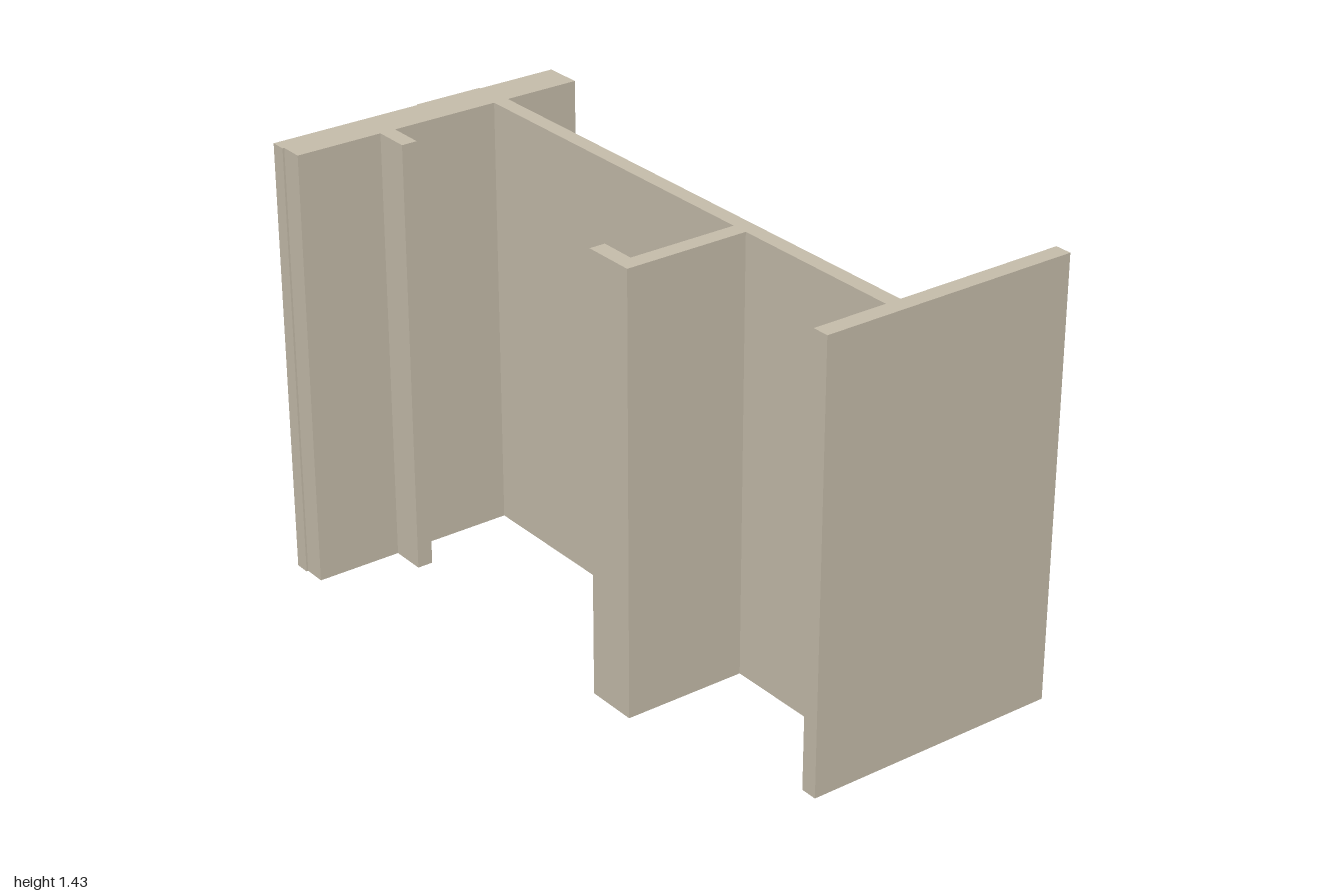
import * as THREE from 'three';

const HEIGHT = 1.43;

export function createModel() {
  const model = new THREE.Group();
  model.name = 'wallSection';
  const plaster = new THREE.MeshStandardMaterial({ color: 0xc6bdab });
  plaster.name = 'beige plaster';

  // Extrudes a floor-plan outline of [x, z] corners to full height
  function wall(name, plan) {
    const shape = new THREE.Shape(plan.map(([x, z]) => new THREE.Vector2(x, -z)));
    const geometry = new THREE.ExtrudeGeometry(shape, { depth: HEIGHT, bevelEnabled: false });
    geometry.rotateX(-Math.PI / 2);
    const mesh = new THREE.Mesh(geometry, plaster);
    mesh.name = name;
    model.add(mesh);
  }
  const rect = (x0, x1, z0, z1) => [[x0, z0], [x1, z0], [x1, z1], [x0, z1]];

  // Thick outer wall, with a slightly proud middle stretch on its outer face
  wall('thickSideWall', [
    [-0.995, -0.348], [-0.87, -0.348], [-0.87, 0.652], [-0.945, 0.652], [-0.945, 0.658],
    [-0.995, 0.658], [-0.995, 0.15], [-1, 0.15], [-1, -0.08], [-0.995, -0.08],
  ]);

  // Thin outer wall and the long partition joining both sides
  wall('thinSideWall', rect(0.945, 1, -0.662, 0.202));
  wall('longPartition', rect(-0.87, 0.945, -0.096, -0.045));

  // Short return on the thick wall
  wall('doorReturn', rect(-0.87, -0.753, 0.313, 0.365));

  // L-shaped partition facing the return across the opening
  wall('hookPartition', [
    [0.3, -0.045], [0.354, -0.045], [0.354, 0.365],
    [0.182, 0.365], [0.182, 0.313], [0.3, 0.313],
  ]);

  return model;
}
